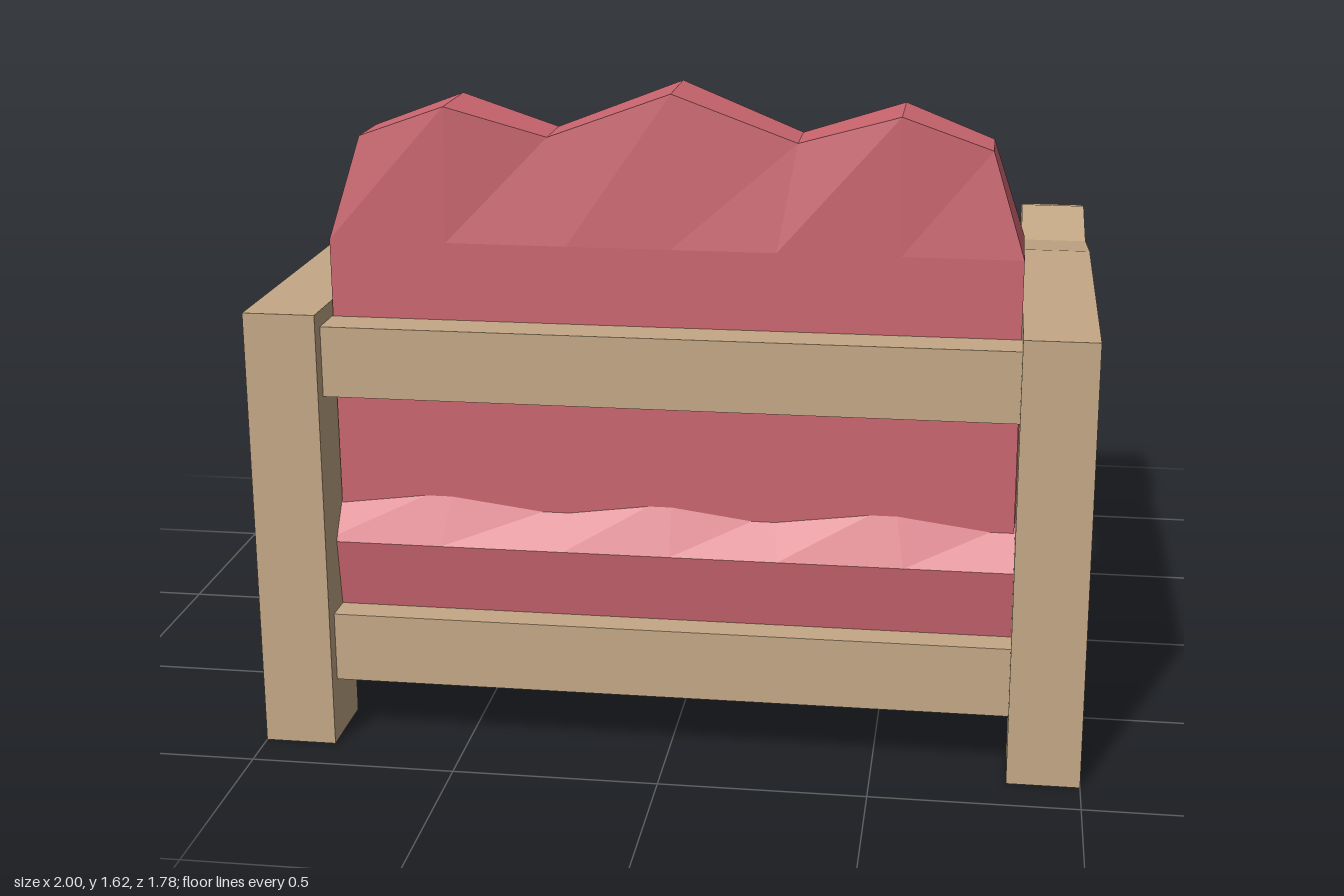
import * as THREE from 'three';

const wood = new THREE.MeshStandardMaterial({ color: 0xc4a886, flatShading: true });
const fabric = new THREE.MeshStandardMaterial({ color: 0xcc6670, flatShading: true });

// Upholstery columns across the width: x at the base, x at the top, puffiness, and top edge of the back
const half = [
  { x: 0, xt: 0, w: 0.9, yt: 1.615, zf: 0.525, zb: 0.73 },
  { x: 0.25, xt: 0.295, w: 0, yt: 1.505, zf: 0.575, zb: 0.72 },
  { x: 0.54, xt: 0.535, w: 1, yt: 1.577, zf: 0.545, zb: 0.75 },
  { x: 0.823, xt: 0.745, w: 0, yt: 1.5, zf: 0.58, zb: 0.73 },
];
const columns = [
  ...half.slice(1).reverse().map((c) => ({ ...c, x: -c.x, xt: -c.xt })),
  ...half,
];

// Skins a row of closed loops; each end is capped by a strip joining front points to back points
function loft(loops) {
  const n = loops[0].length, last = loops.length - 1, idx = [];
  const quad = (a, b, c, d) => idx.push(a, b, c, c, b, d);
  for (let i = 0; i < last; i++)
    for (let j = 0; j < n; j++) {
      const k = (j + 1) % n;
      quad(i * n + j, i * n + k, (i + 1) * n + j, (i + 1) * n + k);
    }
  for (let j = 0; j < n / 2 - 1; j++) {
    const k = n - 1 - j, e = last * n;
    quad(e + j, e + j + 1, e + k, e + k - 1);
    quad(j, k, j + 1, k - 1);
  }
  const g = new THREE.BufferGeometry();
  g.setAttribute('position', new THREE.Float32BufferAttribute(loops.flat(2), 3));
  g.setIndex(idx);
  const flat = g.toNonIndexed();
  flat.computeVertexNormals();
  return flat;
}

// Seat section: up the front, over the top, down the rear, bulging at mid height
function seatLoop({ x, w }) {
  const bulge = x * 1.045;
  return [
    [x, 0.155 - 0.007 * w, -0.72 - 0.04 * w],
    [bulge, 0.5, -0.73 - 0.085 * w],
    [x, 0.585 + 0.035 * w, -0.73 - 0.05 * w],
    [x, 0.6 + 0.042 * w, -0.45],
    [x, 0.6 + 0.065 * w, -0.07],
    [x, 0.605 + 0.038 * w, 0.73],
    [bulge, 0.5, 0.8],
    [x, 0.155, 0.75],
  ];
}

// Backrest section: up the sitting side, across the wavy top, down the rear
function backLoop({ x, xt, w, yt, zf, zb }) {
  return [
    [x, 0.55, 0.43 - 0.07 * w],
    [x, 0.92, 0.43 - 0.07 * w],
    [x, 1.1, 0.463 - 0.073 * w],
    [x, 1.25 + 0.03 * w, 0.49 - 0.07 * w],
    [xt, yt, zf],
    [xt, yt, zb],
    [x, 1.25, 0.748],
    [x, 1.1, 0.748],
    [x, 0.92, 0.748],
    [x, 0.55, 0.745],
  ];
}

// Arm frame outline as (z, y): rear post, wavy armrest and front post in one piece
const armOutline = [
  [0.89, 0], [0.89, 1.1], [0, 1.1], [-0.31, 1.055], [-0.56, 1.1], [-0.785, 1.055],
  [-0.86, 0.975], [-0.887, 0.865], [-0.887, 0], [-0.71, 0], [-0.71, 0.945],
  [-0.31, 0.9], [0, 0.945], [0.69, 0.945], [0.69, 0],
];

export function createModel() {
  const model = new THREE.Group();
  const add = (name, geometry, material, x = 0, y = 0, z = 0) => {
    const mesh = new THREE.Mesh(geometry, material);
    mesh.name = name;
    mesh.position.set(x, y, z);
    model.add(mesh);
    return mesh;
  };

  // Arm frames and side rails
  const armShape = new THREE.Shape(armOutline.map(([z, y]) => new THREE.Vector2(z, y)));
  const armGeometry = new THREE.ExtrudeGeometry(armShape, { depth: 0.175, bevelEnabled: false });
  armGeometry.rotateY(-Math.PI / 2);
  for (const [side, s] of [['left', 1], ['right', -1]]) {
    add(side + 'ArmFrame', armGeometry, wood, s > 0 ? 1 : -0.825);
    add(side + 'SideRail', new THREE.BoxGeometry(0.1, 0.175, 1.4), wood, s * 0.84, 0.2425, -0.01);
  }

  // Cross rails
  const crossRail = new THREE.BoxGeometry(1.65, 0.173, 0.1);
  add('frontRail', crossRail, wood, 0, 0.2425, -0.773);
  add('lowerBackRail', crossRail, wood, 0, 0.2425, 0.8);
  add('upperBackRail', crossRail, wood, 0, 0.975, 0.8);

  // Upholstery
  add('seatCushion', loft(columns.map(seatLoop)), fabric);
  add('backCushion', loft(columns.map(backLoop)), fabric);

  return model;
}
